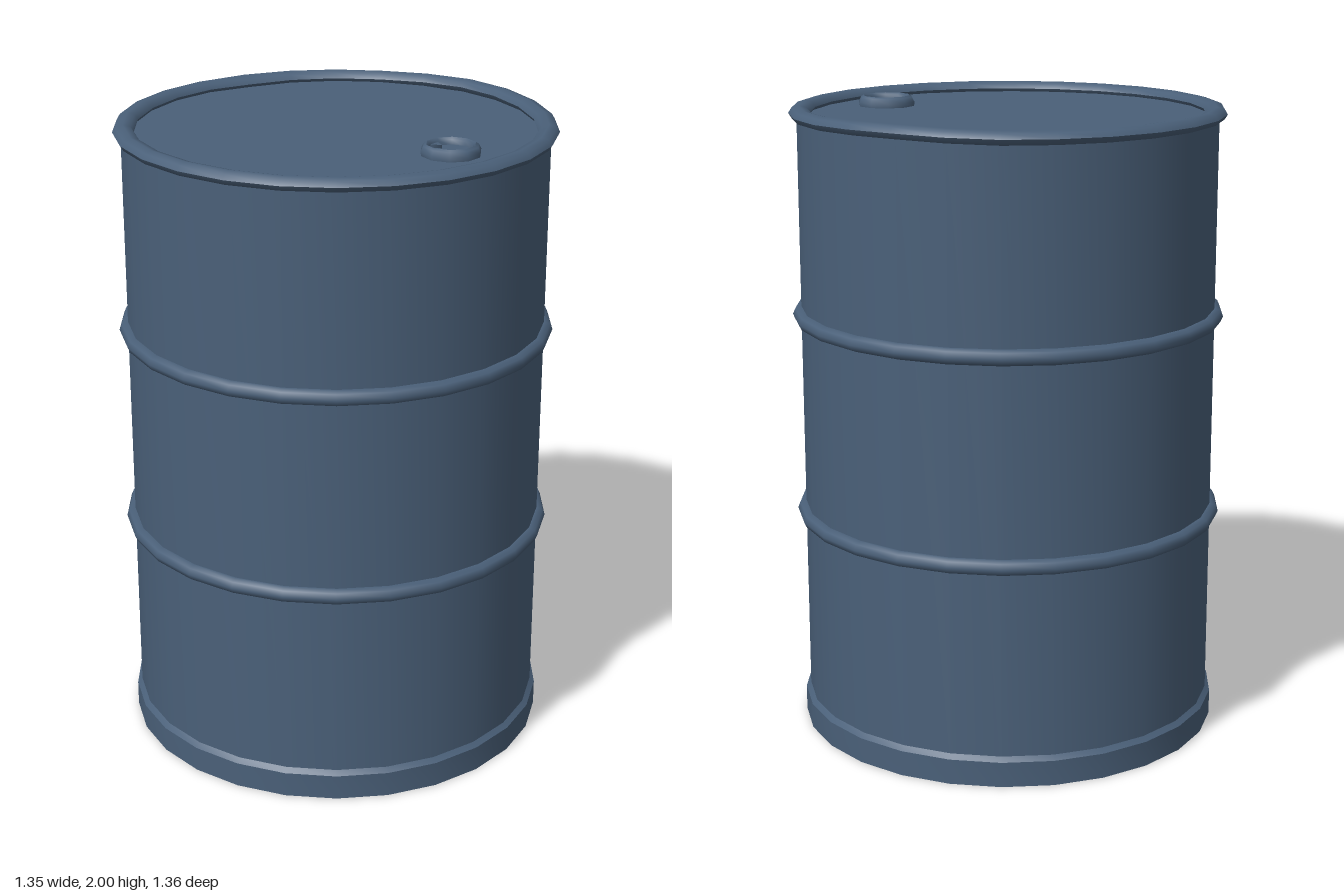
import * as THREE from 'three';
import { toCreasedNormals } from 'three/addons/utils/BufferGeometryUtils.js';

const SIDES = 26;

export function createModel() {
  const drum = new THREE.Group();
  drum.name = 'drum';
  const paint = new THREE.MeshStandardMaterial({ color: 0x4a6079 });
  paint.name = 'blue grey paint';

  // Revolves a profile of [radius, height] pairs; bend may move its vertices
  function turned(name, profile, sides = SIDES, crease = 0.6, bend = null) {
    const points = profile.map(([r, y]) => new THREE.Vector2(r, y));
    const lathe = new THREE.LatheGeometry(points, sides);
    if (bend) {
      const pos = lathe.attributes.position;
      const v = new THREE.Vector3();
      for (let i = 0; i < pos.count; i++) {
        bend(v.fromBufferAttribute(pos, i));
        pos.setXYZ(i, v.x, v.y, v.z);
      }
    }
    const mesh = new THREE.Mesh(toCreasedNormals(lathe, crease), paint);
    mesh.name = name;
    drum.add(mesh);
    return mesh;
  }

  // Closed oval section for the rolled rings
  const oval = (r, y, rx, ry, n = 8) =>
    Array.from({ length: n + 1 }, (_, i) => {
      const a = (i / n) * Math.PI * 2;
      return [r + rx * Math.cos(a), y + ry * Math.sin(a)];
    });

  // Shell with its lid and recessed floor
  turned('shell', [[0, 0.03], [0.655, 0.03], [0.655, 1.962], [0, 1.962]]);

  // Foot band with a chamfered upper edge
  turned('footBand', [
    [0.65, 0.03], [0.655, 0], [0.67, 0], [0.67, 0.08], [0.655, 0.094],
  ]);

  // Two rolling hoops around the body
  for (const [name, y] of [['lowerHoop', 0.7], ['upperHoop', 1.34]]) {
    turned(name, oval(0.655, y, 0.027, 0.025), SIDES, 0.9);
  }

  // Rolled top rim, knocked slightly up at the back and in at the back right
  turned('topRim', oval(0.647, 1.972, 0.033, 0.022), SIDES, 0.9, (v) => {
    const back = Math.max(0, 1 - Math.abs(v.x - 0.05) / 0.35);
    if (v.z < 0) v.y += 0.008 * back;
    const inner = Math.hypot(v.x, v.z) < 0.63;
    const dent = Math.max(0, 1 - Math.hypot(v.x + 0.56, v.z + 0.23) / 0.2);
    if (inner) {
      v.x *= 1 - 0.03 * dent;
      v.z *= 1 - 0.03 * dent;
    }
  });

  // Filler cap: a raised ring around a sunken plug
  const ring = turned('fillerRing', [
    [0.09, 1.96], [0.092, 1.975], [0.084, 1.99], [0.075, 1.995], [0.067, 1.988], [0.065, 1.97],
  ], 10, 0.9);
  const plug = turned('fillerPlug', [[0.068, 1.96], [0.068, 1.974], [0, 1.974]], 8);
  ring.position.x = plug.position.x = 0.447;

  // Small locking tooth inside the filler ring
  const tooth = new THREE.Mesh(new THREE.CylinderGeometry(0.022, 0.022, 0.02, 3), paint);
  tooth.name = 'fillerTooth';
  tooth.rotation.y = Math.PI / 2;
  tooth.position.set(0.392, 1.974, 0);
  drum.add(tooth);

  return drum;
}
